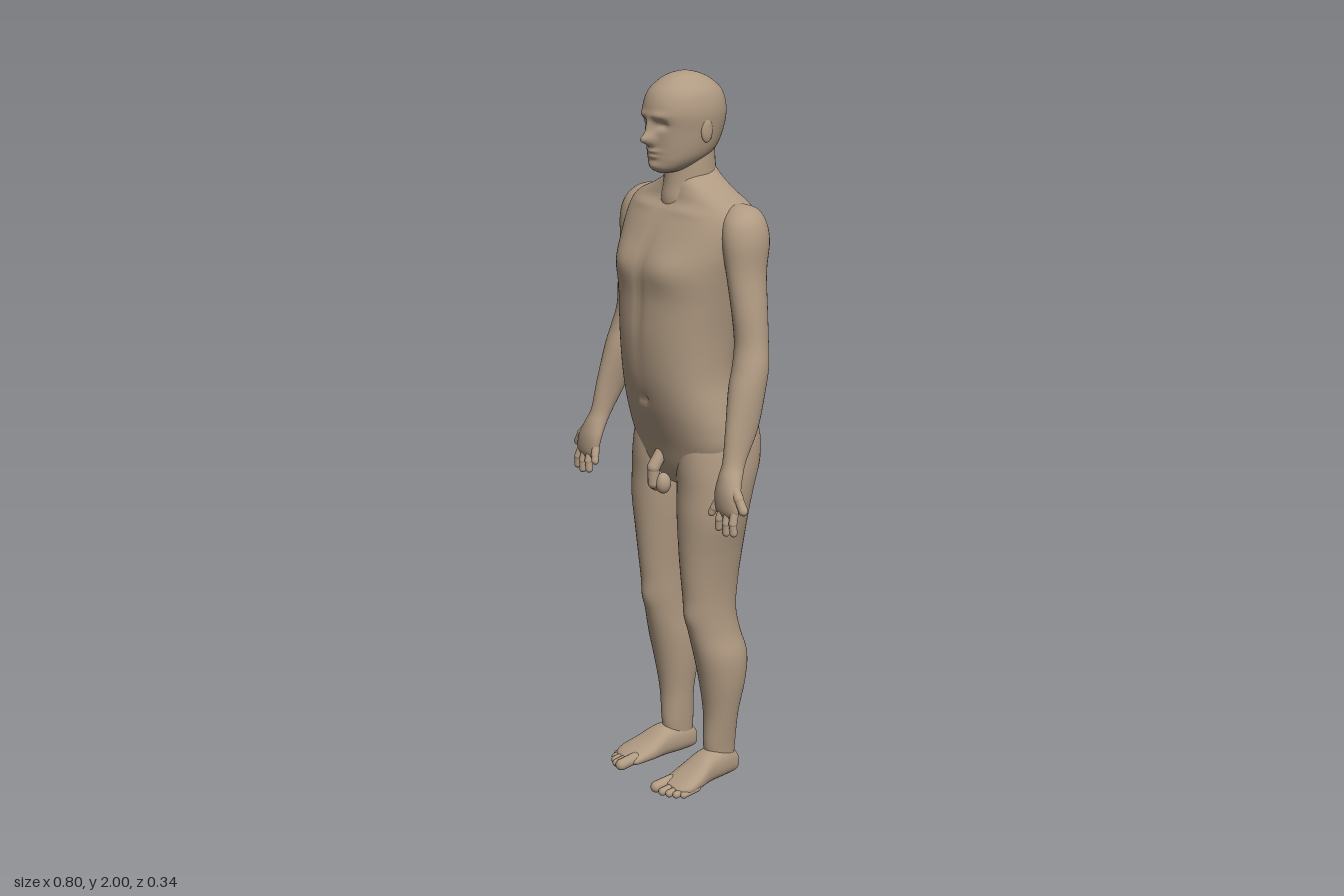
import * as THREE from 'three';
import { mergeGeometries } from 'three/addons/utils/BufferGeometryUtils.js';

const skin = new THREE.MeshStandardMaterial({ color: 0xb09a82 });

function mesh(name, geometry) {
  const m = new THREE.Mesh(geometry, skin);
  m.name = name;
  return m;
}

// Smooth interpolation between rows at position t (in row units)
function sampleRows(rows, t) {
  const i = Math.min(Math.floor(t), rows.length - 2), f = t - i;
  const at = k => rows[Math.max(0, Math.min(rows.length - 1, k))];
  const [a, b, c, d] = [at(i - 1), at(i), at(i + 1), at(i + 2)];
  return b.map((v, k) => v + 0.5 * f * (c[k] - a[k] +
    f * (2 * a[k] - 5 * v + 4 * c[k] - d[k] + f * (3 * (v - c[k]) + d[k] - a[k]))));
}

// Closed loft. Rows rise in y: [y, centre x, half width, front z, back z].
// Bumps push the front (side 1) or back (side -1): [x, y, width, height, amount, side].
function loft(rows, { s = 1, power = 2, sides = 32, steps = 5, bumps = [] } = {}) {
  const pos = [], index = [], rings = (rows.length - 1) * steps + 1;
  const bend = v => Math.sign(v) * Math.abs(v) ** (2 / power);
  for (let i = 0; i < rings; i++) {
    const [y, cx, rx, zf, zb] = sampleRows(rows, i / steps);
    for (let j = 0; j < sides; j++) {
      const a = j / sides * Math.PI * 2, sin = Math.sin(a);
      const x = cx * s + rx * bend(Math.cos(a));
      let z = (zf + zb) / 2 + (zf - zb) / 2 * bend(sin);
      for (const [bx, by, w, h, amount, side] of bumps) {
        const facing = Math.min(1, Math.max(0, sin * side * 2));
        z += side * facing * amount * Math.exp(-(((x - bx * s) / w) ** 2) - ((y - by) / h) ** 2);
      }
      pos.push(x, y, z);
      if (i < rings - 1) {
        const p = i * sides + j, q = i * sides + (j + 1) % sides;
        index.push(p, p + sides, q, q, p + sides, q + sides);
      }
    }
  }
  // End caps
  for (const [row, top] of [[rows[0], false], [rows[rows.length - 1], true]]) {
    const c = pos.length / 3, base = top ? (rings - 1) * sides : 0;
    pos.push(row[1] * s, row[0], (row[3] + row[4]) / 2);
    for (let j = 0; j < sides; j++) {
      const p = base + j, q = base + (j + 1) % sides;
      index.push(...(top ? [c, q, p] : [c, p, q]));
    }
  }
  const g = new THREE.BufferGeometry();
  g.setAttribute('position', new THREE.Float32BufferAttribute(pos, 3));
  g.setIndex(index);
  g.computeVertexNormals();
  return g;
}

// Chain of rounded segments through points, for fingers and toes
function digit(points, r, s) {
  const v = points.map(([x, y, z]) => new THREE.Vector3(x * s, y, z));
  const up = new THREE.Vector3(0, 1, 0);
  return mergeGeometries(v.slice(1).map((b, i) => {
    const a = v[i], d = b.clone().sub(a), len = d.length();
    const g = new THREE.CapsuleGeometry(r * (1 - 0.1 * i), len, 6, 14);
    g.applyQuaternion(new THREE.Quaternion().setFromUnitVectors(up, d.normalize()));
    return g.translate(...a.clone().add(b).multiplyScalar(0.5).toArray());
  }));
}

function ball(x, y, z, rx, ry, rz) {
  return new THREE.SphereGeometry(1, 20, 14).scale(rx, ry, rz).translate(x, y, z);
}

const both = (x, ...rest) => [[x, ...rest], [-x, ...rest]];

const torsoRows = [
  [0.87, 0, 0.02, 0.02, -0.04], [0.885, 0, 0.08, 0.045, -0.08], [0.93, 0, 0.15, 0.07, -0.115],
  [1.0, 0, 0.19, 0.09, -0.135], [1.06, 0, 0.193, 0.11, -0.14], [1.12, 0, 0.184, 0.128, -0.125],
  [1.2, 0, 0.172, 0.145, -0.11], [1.3, 0, 0.176, 0.152, -0.12], [1.4, 0, 0.19, 0.148, -0.135],
  [1.48, 0, 0.205, 0.143, -0.145], [1.55, 0, 0.22, 0.12, -0.148], [1.62, 0, 0.228, 0.083, -0.142],
  [1.66, 0, 0.21, 0.052, -0.125], [1.69, 0, 0.14, 0.042, -0.115], [1.72, 0, 0.08, 0.035, -0.105],
  [1.75, 0, 0.05, 0.02, -0.09]];
const torsoBumps = [
  ...both(0.09, 1.5, 0.07, 0.05, 0.014, 1),       // chest
  ...both(0.09, 1.645, 0.07, 0.012, 0.006, 1),    // collarbones
  ...both(0.1, 1.52, 0.06, 0.09, 0.01, -1),       // shoulder blades
  [0, 1.4, 0.022, 0.25, -0.02, -1],               // spine
  [0, 1.02, 0.025, 0.06, -0.025, -1],
  [0, 1.13, 0.012, 0.012, -0.012, 1],             // navel
  [0, 1.42, 0.014, 0.16, -0.006, 1]];

const headRows = [
  [1.738, 0, 0.015, 0.075, 0.03], [1.748, 0, 0.042, 0.092, 0.0], [1.77, 0, 0.064, 0.098, -0.05],
  [1.8, 0, 0.078, 0.1, -0.09], [1.85, 0, 0.088, 0.104, -0.114], [1.9, 0, 0.093, 0.111, -0.121],
  [1.945, 0, 0.083, 0.098, -0.11], [1.975, 0, 0.06, 0.068, -0.08], [1.992, 0, 0.035, 0.036, -0.046],
  [2.0, 0, 0.006, 0.0, -0.012]];
const headBumps = [
  [0, 1.829, 0.015, 0.016, 0.034, 1], [0, 1.858, 0.011, 0.022, 0.015, 1], // nose
  ...both(0.034, 1.868, 0.017, 0.011, -0.015, 1), // eye sockets
  ...both(0.032, 1.892, 0.025, 0.009, 0.006, 1),  // brows
  [0, 1.798, 0.024, 0.006, 0.009, 1], [0, 1.784, 0.02, 0.006, 0.007, 1], // lips
  [0, 1.758, 0.025, 0.012, 0.007, 1]];            // chin

const neckRows = [
  [1.6, 0, 0.07, 0.05, -0.1], [1.66, 0, 0.075, 0.058, -0.11], [1.71, 0, 0.067, 0.05, -0.1],
  [1.77, 0, 0.064, 0.045, -0.092], [1.84, 0, 0.06, 0.04, -0.09]];

const armRows = [
  [0.878, 0.325, 0.035, 0.108, 0.09], [0.9, 0.325, 0.046, 0.115, 0.08], [0.94, 0.32, 0.046, 0.115, 0.068],
  [0.98, 0.313, 0.036, 0.106, 0.048], [1.02, 0.306, 0.028, 0.092, 0.025], [1.1, 0.298, 0.033, 0.078, -0.02],
  [1.2, 0.285, 0.045, 0.055, -0.05], [1.26, 0.278, 0.048, 0.035, -0.063], [1.32, 0.268, 0.045, 0.022, -0.07],
  [1.4, 0.258, 0.044, 0.025, -0.075], [1.5, 0.24, 0.046, 0.03, -0.085], [1.58, 0.23, 0.054, 0.035, -0.1],
  [1.63, 0.22, 0.051, 0.025, -0.095], [1.66, 0.207, 0.038, 0, -0.08], [1.672, 0.2, 0.012, -0.025, -0.05]];

const legRows = [
  [0.03, 0.1, 0.03, -0.02, -0.1], [0.1, 0.1, 0.036, -0.005, -0.105], [0.2, 0.105, 0.048, -0.005, -0.107],
  [0.3, 0.108, 0.062, 0.01, -0.125], [0.38, 0.108, 0.066, 0.028, -0.13], [0.45, 0.103, 0.058, 0.045, -0.112],
  [0.52, 0.1, 0.056, 0.058, -0.1], [0.6, 0.1, 0.06, 0.068, -0.105], [0.7, 0.102, 0.074, 0.075, -0.115],
  [0.8, 0.107, 0.092, 0.078, -0.122], [0.88, 0.106, 0.1, 0.075, -0.14], [0.95, 0.104, 0.1, 0.075, -0.163],
  [1.02, 0.1, 0.096, 0.065, -0.167], [1.08, 0.098, 0.08, 0.03, -0.145], [1.12, 0.095, 0.03, 0, -0.09]];

// Foot rows run heel to toe: [z, centre x, half width, -sole, -top]
const footRows = [
  [-0.116, 0.1, 0.008, -0.02, -0.04], [-0.105, 0.1, 0.027, -0.003, -0.065], [-0.06, 0.102, 0.039, 0, -0.09],
  [0, 0.107, 0.044, 0, -0.088], [0.05, 0.113, 0.053, 0, -0.062], [0.09, 0.118, 0.055, 0, -0.044],
  [0.115, 0.116, 0.05, -0.002, -0.034], [0.13, 0.112, 0.035, -0.01, -0.026]];

const fingers = [
  [[0.288, 0.915, 0.095], [0.279, 0.892, 0.104], [0.273, 0.878, 0.108]],
  [[0.31, 0.9, 0.097], [0.307, 0.87, 0.108], [0.304, 0.846, 0.108]],
  [[0.333, 0.9, 0.097], [0.336, 0.865, 0.108], [0.336, 0.839, 0.108]],
  [[0.356, 0.905, 0.095], [0.362, 0.87, 0.106], [0.365, 0.845, 0.106]],
  [[0.335, 0.965, 0.085], [0.366, 0.935, 0.09], [0.385, 0.908, 0.09]]];

const toes = [[0.086, 0.157, 0.0165], [0.113, 0.155, 0.0115], [0.133, 0.146, 0.011],
  [0.15, 0.134, 0.0105], [0.163, 0.118, 0.01]];

export function createModel() {
  const body = new THREE.Group();
  body.name = 'human figure';
  body.add(
    mesh('torso', loft(torsoRows, { power: 2.35, sides: 96, steps: 7, bumps: torsoBumps })),
    mesh('neck', loft(neckRows)),
    mesh('head', loft(headRows, { power: 2.15, sides: 112, steps: 10, bumps: headBumps })),
    mesh('groin', mergeGeometries([
      digit([[0, 0.965, 0.075], [0, 0.93, 0.1], [0, 0.885, 0.1]], 0.018, 1),
      ball(0.017, 0.885, 0.08, 0.022, 0.03, 0.022), ball(-0.017, 0.885, 0.08, 0.022, 0.03, 0.022)])));

  for (const s of [1, -1]) {
    const side = s > 0 ? 'left' : 'right';
    const arm = new THREE.Group(), leg = new THREE.Group();
    arm.name = side + 'Arm';
    leg.name = side + 'Leg';
    arm.add(mesh('armAndPalm', loft(armRows, { s })),
      mesh('fingers', mergeGeometries(fingers.map((p, i) => digit(p, i === 4 ? 0.014 : 0.0115, s)))));
    leg.add(
      mesh('thighAndCalf', loft(legRows, { s, power: 2.1, sides: 40,
        bumps: [[0.1, 0.51, 0.03, 0.035, 0.008, 1], [0.1, 0.47, 0.02, 0.05, -0.006, -1]] })),
      mesh('foot', loft(footRows, { s, power: 2.4 }).rotateX(Math.PI / 2)),
      mesh('toes', mergeGeometries(toes.map(([x, z, r]) =>
        digit([[x * 0.95 + 0.006, r + 0.006, z - 0.05], [x, r, z]], r, s)))));
    body.add(arm, leg, mesh(side + 'Ear', ball(0.088 * s, 1.852, -0.012, 0.008, 0.032, 0.018)));
  }
  return body;
}
